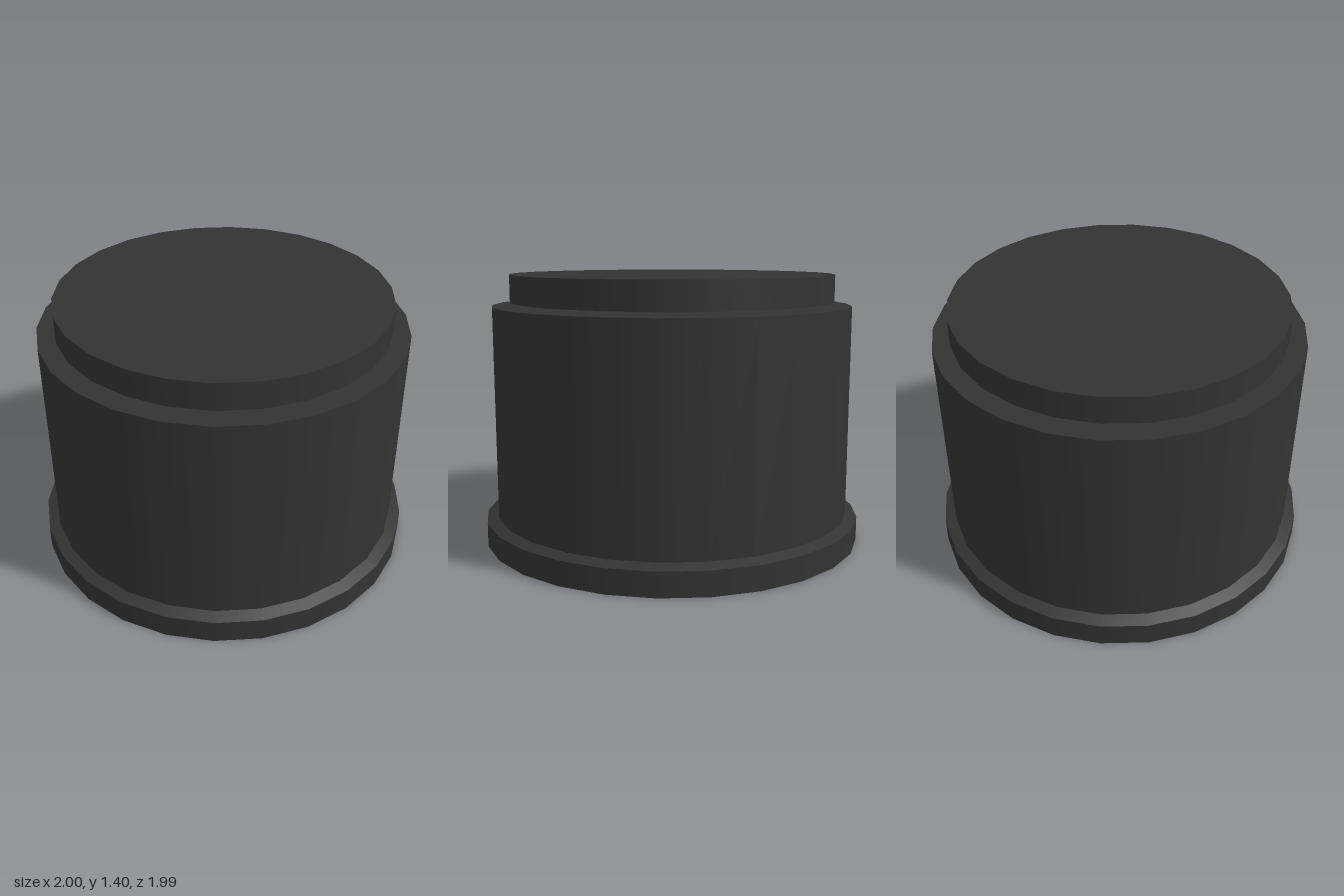
import * as THREE from 'three';

const SIDES = 26;

export function createModel() {
  const model = new THREE.Group();
  const charcoal = new THREE.MeshStandardMaterial({ color: 0x333333 });
  charcoal.name = 'charcoal';

  // A round part standing between two heights, with a corner on the x axis
  function disc(name, bottomRadius, topRadius, y0, y1, open = false) {
    const geometry = new THREE.CylinderGeometry(topRadius, bottomRadius, y1 - y0, SIDES, 1, open);
    geometry.rotateY(Math.PI / 2);
    geometry.translate(0, (y0 + y1) / 2, 0);
    const mesh = new THREE.Mesh(geometry, charcoal);
    mesh.name = name;
    model.add(mesh);
  }

  // Flange at the foot, with a sloping shoulder up to the body
  disc('baseFlange', 1, 1, 0, 0.125);
  disc('baseShoulder', 1, 0.94, 0.125, 0.145, true);

  // Main drum
  disc('body', 0.94, 0.94, 0.125, 1.24);

  // Narrow neck carrying the overhanging cap
  disc('neck', 0.6, 0.6, 1.24, 1.26);
  disc('cap', 0.85, 0.85, 1.26, 1.4);

  return model;
}
